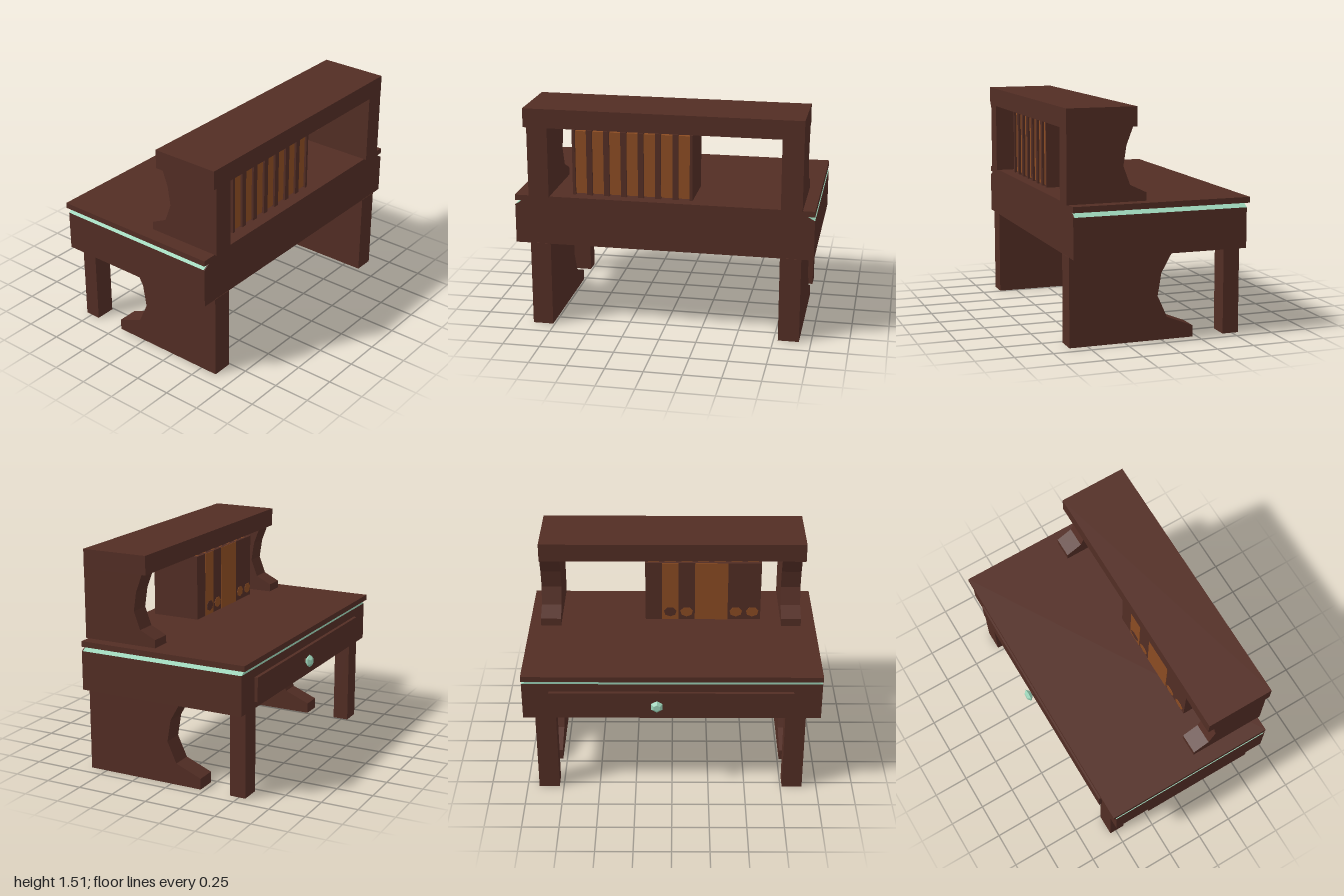
import * as THREE from 'three';

const flat = (name, color) => {
  const m = new THREE.MeshStandardMaterial({ color });
  m.name = name;
  return m;
};

export function createModel() {
  const wood = flat('dark wood', 0x522d24);
  const tan = flat('tan paper', 0x8a4b22);
  const mint = flat('mint trim', 0x9bd3b8);

  const root = new THREE.Group();
  root.name = 'writingDesk';

  const add = (name, geometry, material, parent = root) => {
    const mesh = new THREE.Mesh(geometry, material);
    mesh.name = name;
    parent.add(mesh);
    return mesh;
  };
  // Box given by its limits on each axis
  const box = (name, [x0, x1], [y0, y1], [z0, z1], material, parent) => {
    const g = new THREE.BoxGeometry(x1 - x0, y1 - y0, z1 - z0);
    g.translate((x0 + x1) / 2, (y0 + y1) / 2, (z0 + z1) / 2);
    return add(name, g, material, parent);
  };
  const extrude = (points, depth) => new THREE.ExtrudeGeometry(
    new THREE.Shape(points.map(([a, b]) => new THREE.Vector2(a, b))),
    { depth, bevelEnabled: false });
  // Side board: a (z, y) outline pushed along x
  const board = (name, outline, [x0, x1]) => {
    const g = extrude(outline.map(([z, y]) => [-z, y]), x1 - x0);
    g.rotateY(Math.PI / 2).translate(x0, 0, 0);
    return add(name, g, wood);
  };

  // Curved lower panels, straight legs and curved shelf supports on both sides
  const lowerOutline = [[0.62, 0], [-0.22, 0], [-0.22, 0.075], [-0.04, 0.148],
    [0.025, 0.29], [0, 0.44], [-0.08, 0.582], [0.62, 0.582]];
  const upperOutline = [[0.633, 0.912], [0.105, 0.912], [0.105, 0.967], [0.215, 1.02],
    [0.26, 1.14], [0.24, 1.27], [0.195, 1.388], [0.633, 1.388]];
  for (const [side, span] of [['right', [-0.9, -0.762]], ['left', [0.78, 0.92]]]) {
    board(side + 'LowerPanel', lowerOutline, span);
    box(side + 'Leg', span, [0, 0.582], [-0.545, -0.435], wood);
    board(side + 'ShelfSupport', upperOutline, span);
  }
  box('shelfTop', [-0.923, 0.92], [1.385, 1.512], [0.168, 0.634], wood);

  // Desk body, sloped trim under the top, and the top itself
  box('deskBody', [-1, 1], [0.58, 0.846], [-0.557, 0.617], wood);
  const trim = [[-1, 0.846], [1, 0.846], [0.95, 0.876], [-0.95, 0.876]];
  add('trim', extrude(trim, 1.166), mint).position.z = -0.557;
  add('trimFront', extrude(trim, 0.008), wood).position.z = 0.609;
  box('deskTop', [-1, 1], [0.875, 0.913], [-0.578, 0.617], wood);

  // Drawer and its six-sided knob
  box('drawerFront', [-0.81, 0.82], [0.625, 0.788], [-0.58, -0.55], wood);
  const lathe = (points) => {
    const g = new THREE.LatheGeometry(points.map(([r, h]) => new THREE.Vector2(r, h)), 6)
      .toNonIndexed();
    g.computeVertexNormals();
    return g.rotateX(-Math.PI / 2);
  };
  const knob = new THREE.Group();
  knob.name = 'drawerKnob';
  knob.position.set(0.1, 0.705, -0.578);
  root.add(knob);
  add('knobNeck', lathe([[0.018, 0], [0.016, 0.022]]), wood, knob);
  add('knobHead', lathe([[0, 0.014], [0.02, 0.014], [0.045, 0.036], [0.024, 0.056], [0, 0.056]]),
    mint, knob);

  // Row of books, spines toward the drawer side
  const books = new THREE.Group();
  books.name = 'books';
  root.add(books);
  const pitch = 0.1155;
  const tanSpines = [2, 3, 5];
  const labels = { 0: tan, 1: tan, 4: tan, 5: wood };
  for (let i = 0; i < 7; i++) {
    const x0 = -0.62 + i * pitch;
    const x1 = x0 + pitch;
    const cover = 0.019;
    const y = [0.912, 1.356];
    box('bookCover', [x0, x0 + cover], y, [0.2, 0.54], wood, books);
    box('bookCover', [x1 - cover, x1], y, [0.2, 0.54], wood, books);
    box('bookSpine', [x0 + cover, x1 - cover], y, [0.2, 0.22], wood, books);
    box('bookPages', [x0 + cover, x1 - cover], [0.92, 1.347], [0.22, 0.525], tan, books);
    if (tanSpines.includes(i)) box('spineFace', [x0, x1], y, [0.197, 0.2], tan, books);
    if (labels[i]) {
      const g = new THREE.CylinderGeometry(0.5, 0.5, 0.003, 7).rotateX(Math.PI / 2);
      g.scale(0.09, 0.075, 1);
      add('spineLabel', g, labels[i], books).position.set((x0 + x1) / 2, 0.975, 0.1955);
    }
  }
  return root;
}
